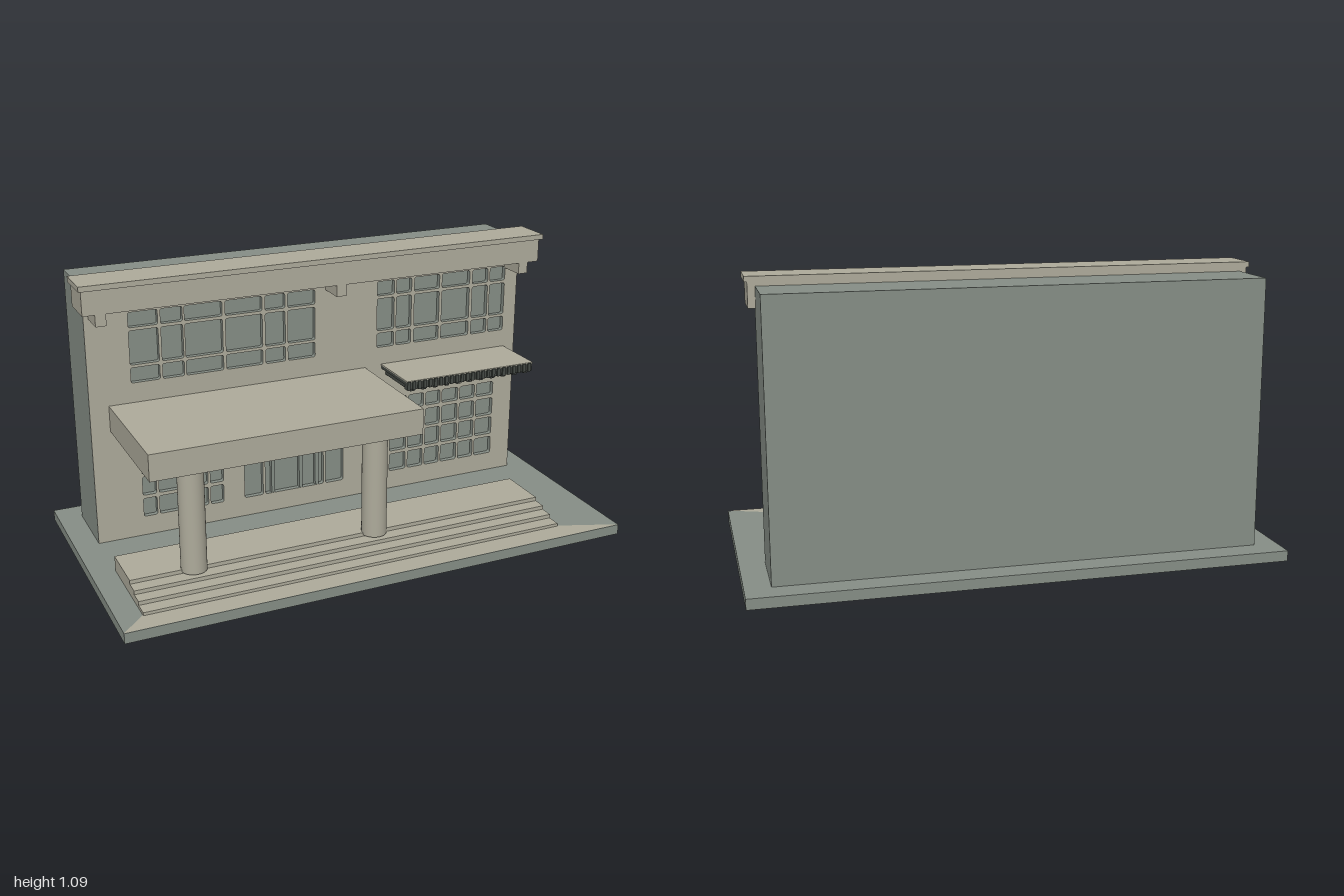
import * as THREE from 'three';

export function createModel() {
  const model = new THREE.Group();
  const mat = (name, color) => {
    const m = new THREE.MeshStandardMaterial({ color });
    m.name = name;
    return m;
  };
  const stone = mat('warm stone', 0xaeab9b);
  const grey = mat('grey green', 0x868e86);
  const dark = mat('dark metal', 0x454a45);

  const add = (name, geometry, material, parent = model) => {
    const mesh = new THREE.Mesh(geometry, material);
    mesh.name = name;
    parent.add(mesh);
    return mesh;
  };
  // Box given by its limits along each axis
  const box = (name, material, x0, x1, y0, y1, z0, z1, parent) => {
    const mesh = add(name, new THREE.BoxGeometry(x1 - x0, y1 - y0, z1 - z0), material, parent);
    mesh.position.set((x0 + x1) / 2, (y0 + y1) / 2, (z0 + z1) / 2);
    return mesh;
  };
  const group = (name) => {
    const g = new THREE.Group();
    g.name = name;
    model.add(g);
    return g;
  };

  // Ground slab with a paved apron in front of the steps
  box('groundSlab', grey, -1, 1, 0, 0.04, -0.52, 0.52);
  const apron = new THREE.Shape([[-1, -0.52], [1, -0.52], [0.77, -0.43], [-0.91, -0.43]]
    .map(([x, y]) => new THREE.Vector2(x, y)));
  const paving = add('apron', new THREE.ShapeGeometry(apron), stone);
  paving.rotation.x = -Math.PI / 2;
  paving.position.y = 0.0415;

  // Steps: one stepped profile swept along x
  const profile = [[0.075, 0.04], [0.435, 0.04], [0.435, 0.053], [0.38, 0.053], [0.38, 0.068],
    [0.328, 0.068], [0.328, 0.083], [0.275, 0.083], [0.275, 0.098], [0.075, 0.098]];
  const stepShape = new THREE.Shape(profile.map(([z, y]) => new THREE.Vector2(-z, y)));
  const steps = add('steps', new THREE.ExtrudeGeometry(stepShape, { depth: 1.68, bevelEnabled: false }), stone);
  steps.rotation.y = Math.PI / 2;
  steps.position.x = -0.908;

  // Building body; its front shows through the window openings
  box('buildingBody', grey, -0.908, 0.905, 0.04, 1.055, -0.425, -0.18);

  // Facade sheet with rounded openings for every pane
  const facade = new THREE.Shape([[-0.908, 0.04], [0.905, 0.04], [0.905, 1.03], [-0.908, 1.03]]
    .map(([x, y]) => new THREE.Vector2(x, y)));
  const opening = (x0, x1, y0, y1, r = 0.009) => {
    const p = new THREE.Path();
    p.moveTo(x0 + r, y0);
    p.lineTo(x1 - r, y0);
    p.quadraticCurveTo(x1, y0, x1, y0 + r);
    p.lineTo(x1, y1 - r);
    p.quadraticCurveTo(x1, y1, x1 - r, y1);
    p.lineTo(x0 + r, y1);
    p.quadraticCurveTo(x0, y1, x0, y1 - r);
    p.lineTo(x0, y0 + r);
    p.quadraticCurveTo(x0, y0, x0 + r, y0);
    facade.holes.push(p);
  };
  const windowGrid = (columns, rows) => {
    for (const [x0, x1] of columns) for (const [y0, y1] of rows) opening(x0, x1, y0, y1);
  };
  const upperRows = [[0.668, 0.727], [0.738, 0.87], [0.882, 0.94]];
  const lowerRows = [[0.118, 0.193], [0.207, 0.283], [0.295, 0.37], [0.385, 0.443]];
  windowGrid([[-0.745, -0.633], [-0.622, -0.538], [-0.53, -0.382],
    [-0.37, -0.222], [-0.21, -0.128], [-0.117, -0.003]], upperRows);
  windowGrid([[0.265, 0.34], [0.35, 0.417], [0.43, 0.543],
    [0.555, 0.682], [0.695, 0.767], [0.777, 0.847]], upperRows);
  windowGrid([[0.33, 0.404], [0.414, 0.484], [0.494, 0.561],
    [0.571, 0.645], [0.655, 0.725], [0.735, 0.814]], lowerRows);
  windowGrid([[-0.724, -0.67], [-0.66, -0.57], [-0.56, -0.462], [-0.452, -0.398]], lowerRows);

  // Entrance: transom lights, side lights and the door bay
  windowGrid([[-0.31, -0.232], [-0.222, -0.145], [-0.135, -0.055],
    [-0.045, 0.03], [0.04, 0.118]], [lowerRows[3]]);
  windowGrid([[-0.31, -0.232], [-0.222, 0.03], [0.04, 0.118]], [[0.118, 0.37]]);
  add('facade', new THREE.ExtrudeGeometry(facade, { depth: 0.02, bevelEnabled: false }), [stone, grey])
    .position.z = -0.18;

  const door = group('door');
  for (const x of [-0.195, -0.075, -0.005]) box('doorPost', grey, x, x + 0.014, 0.118, 0.352, -0.18, -0.162, door);
  box('doorHead', grey, -0.195, 0.009, 0.34, 0.353, -0.18, -0.162, door);

  // Cornice, cap and corbels
  box('cornice', stone, -0.935, 0.932, 0.978, 1.07, -0.2, -0.053);
  box('corniceCap', stone, -0.946, 0.942, 1.07, 1.09, -0.2, -0.04);
  for (const x of [-0.87, 0.061, 0.864]) box('corbel', stone, x - 0.02, x + 0.02, 0.934, 0.978, -0.16, -0.053);

  // Entrance canopy on two round columns
  box('canopy', stone, -0.835, 0.214, 0.49, 0.591, -0.16, 0.34);
  for (const x of [-0.668, 0.05]) {
    add('column', new THREE.CylinderGeometry(0.048, 0.048, 0.402, 40), stone).position.set(x, 0.291, 0.27);
  }

  // Side awning: pale roof sheet, ribbed dark edge and joists below
  const awning = group('sideAwning');
  box('awningRoof', stone, 0.285, 0.855, 0.591, 0.596, -0.16, 0.07, awning);
  box('awningDeck', dark, 0.287, 0.853, 0.577, 0.591, -0.16, 0.066, awning);
  box('awningFascia', dark, 0.287, 0.853, 0.56, 0.591, 0.05, 0.068, awning);
  const ribs = 24;
  for (let i = 0; i < ribs; i++) {
    const x = 0.285 + (0.57 * i) / ribs;
    box('awningRib', dark, x, x + 0.013, 0.56, 0.594, 0.05, 0.075, awning);
  }
  for (let i = 0; i < 11; i++) {
    const x = 0.305 + i * 0.0515;
    box('awningJoist', dark, x, x + 0.018, 0.55, 0.578, -0.16, 0.06, awning);
  }
  for (const z of [-0.15, -0.05, 0.035]) box('awningBatten', dark, 0.305, 0.838, 0.552, 0.578, z, z + 0.015, awning);

  return model;
}
